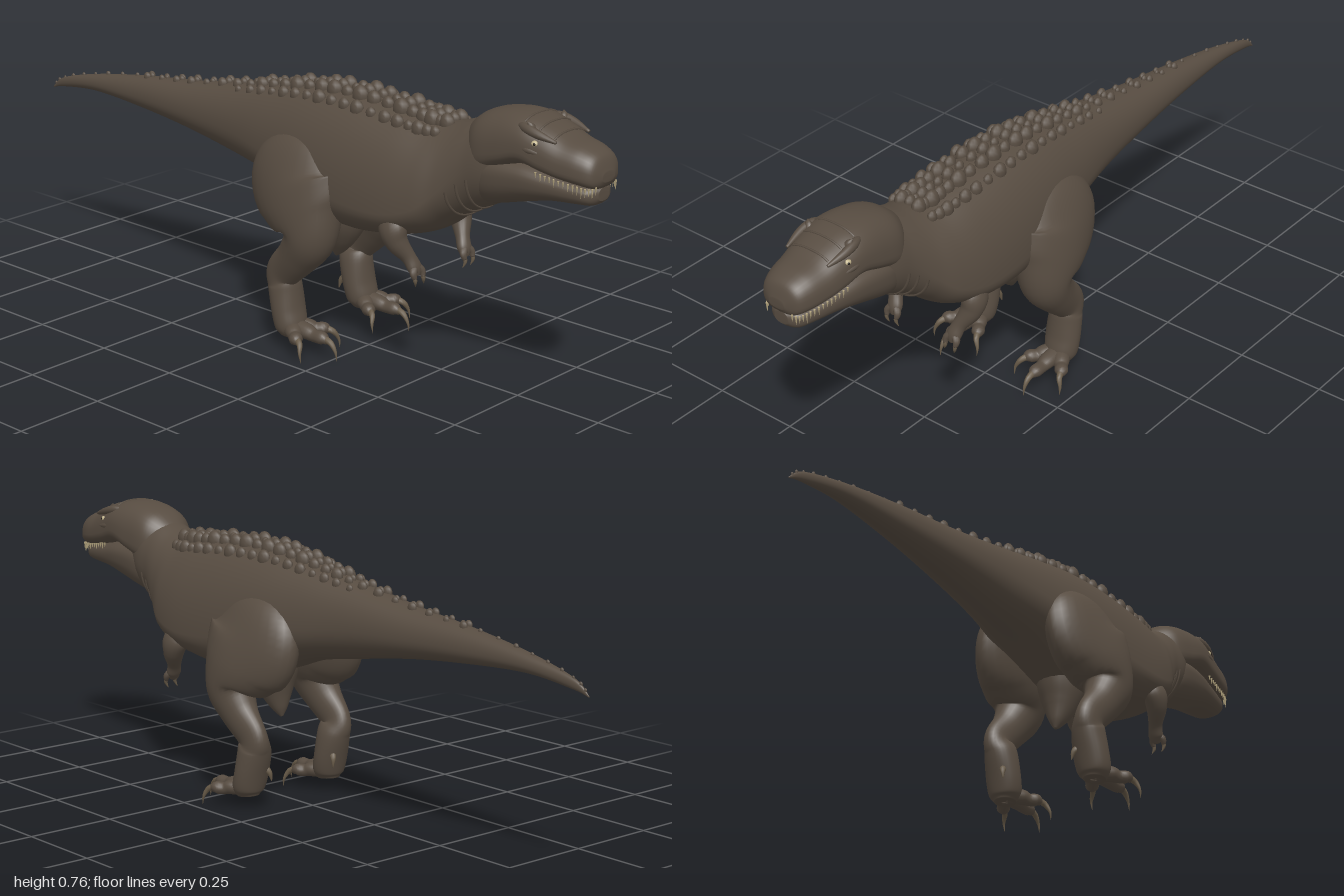
import * as THREE from 'three';
import { mergeGeometries } from 'three/addons/utils/BufferGeometryUtils.js';

const mat = (name, color) => Object.assign(new THREE.MeshStandardMaterial({ color }), { name });

// Smooth Catmull-Rom sample through rows of numbers, t in 0..1
function sample(rows, t) {
  const f = t * (rows.length - 1), i = Math.min(Math.floor(f), rows.length - 2), u = f - i;
  const at = k => rows[Math.max(0, Math.min(rows.length - 1, k))];
  const [a, b, c, d] = [at(i - 1), at(i), at(i + 1), at(i + 2)];
  return b.map((_, k) => b[k] + 0.5 * u * (c[k] - a[k] + u * (2 * a[k] - 5 * b[k] + 4 * c[k] - d[k]
    + u * (3 * (b[k] - c[k]) + d[k] - a[k]))));
}

// Skin a list of rings (each an array of points, counter-clockwise about the path)
function skin(rings) {
  const n = rings[0].length, m = rings.length, pos = rings.flat(2), index = [];
  for (let i = 0; i < m - 1; i++) for (let j = 0; j < n; j++) {
    const a = i * n + j, b = i * n + (j + 1) % n;
    index.push(a, b, b + n, a, b + n, a + n);
  }
  for (let j = 1; j < n - 1; j++) {
    index.push(0, j + 1, j, (m - 1) * n, (m - 1) * n + j, (m - 1) * n + j + 1);
  }
  const g = new THREE.BufferGeometry();
  g.setAttribute('position', new THREE.Float32BufferAttribute(pos, 3));
  g.setIndex(index);
  g.computeVertexNormals();
  return g;
}

// Point on a cross-section row [z, top, bottom, widest height, half width]
function onSection([z, top, bottom, mid, w], a, p) {
  const pw = v => Math.sign(v) * Math.abs(v) ** p;
  const s = pw(Math.sin(a));
  return [pw(Math.cos(a)) * Math.max(w, 0.0005), mid + s * (s > 0 ? top - mid : mid - bottom), z];
}

function loft(rows, p = 1, steps = 60, n = 36) {
  return skin(Array.from({ length: steps + 1 }, (_, i) => {
    const row = sample(rows, i / steps);
    return Array.from({ length: n }, (_, j) => onSection(row, j / n * Math.PI * 2, p));
  }));
}

// Limb along rows [x, y, z, side radius, depth radius]; side mirrors x
function limb(rows, side = 1, steps = 24, n = 18) {
  const path = rows.map(([x, y, z, r, d = r]) => [x * side, y, z, r, d]);
  const point = t => new THREE.Vector3(...sample(path, Math.max(0, Math.min(1, t))).slice(0, 3));
  return skin(Array.from({ length: steps + 1 }, (_, i) => {
    const t = i / steps, [x, y, z, r, d] = sample(path, t);
    const dir = point(t + 0.02).sub(point(t - 0.02)).normalize();
    const s = new THREE.Vector3(1, 0, 0).addScaledVector(dir, -dir.x).normalize();
    const u = dir.clone().cross(s);
    return Array.from({ length: n }, (_, j) => {
      const a = j / n * Math.PI * 2, c = Math.cos(a) * Math.max(r, 0.0004), e = Math.sin(a) * Math.max(d, 0.0004);
      return [x + s.x * c + u.x * e, y + s.y * c + u.y * e, z + s.z * c + u.z * e];
    });
  }));
}

// Raised skin fold following a cross-section between two angles
function fold(row, from, to, p, r) {
  const arc = Array.from({ length: 11 }, (_, i) => new THREE.Vector3(...onSection(row, Math.PI * (from + (to - from) * i / 10), p)));
  return new THREE.TubeGeometry(new THREE.CatmullRomCurve3(arc), 28, r, 6);
}

const blob = (x, y, z, a, b, c, n = 10) =>
  new THREE.SphereGeometry(1, n, Math.ceil(n * 0.7)).scale(a, b, c).translate(x, y, z);

const BODY = [
  [-1, 0.482, 0.478, 0.48, 0.001], [-0.95, 0.518, 0.49, 0.504, 0.009], [-0.8, 0.555, 0.505, 0.528, 0.025],
  [-0.6, 0.587, 0.495, 0.535, 0.044], [-0.4, 0.61, 0.475, 0.535, 0.066], [-0.2, 0.642, 0.443, 0.53, 0.089],
  [-0.05, 0.67, 0.415, 0.51, 0.115], [0.1, 0.694, 0.365, 0.48, 0.142], [0.25, 0.7, 0.343, 0.45, 0.16],
  [0.4, 0.69, 0.362, 0.445, 0.163], [0.5, 0.68, 0.39, 0.47, 0.148], [0.56, 0.69, 0.433, 0.52, 0.122],
  [0.62, 0.712, 0.47, 0.58, 0.1], [0.69, 0.735, 0.505, 0.61, 0.087], [0.78, 0.7, 0.56, 0.63, 0.04],
];
const SKULL = [
  [0.6, 0.7, 0.58, 0.64, 0.05], [0.65, 0.738, 0.58, 0.64, 0.088], [0.72, 0.757, 0.61, 0.655, 0.096],
  [0.79, 0.757, 0.633, 0.675, 0.096], [0.85, 0.739, 0.624, 0.66, 0.091], [0.9, 0.718, 0.616, 0.648, 0.084],
  [0.95, 0.706, 0.61, 0.642, 0.074], [0.985, 0.687, 0.607, 0.638, 0.057], [1, 0.65, 0.625, 0.636, 0.024],
];
const JAW = [
  [0.62, 0.62, 0.5, 0.57, 0.06], [0.68, 0.645, 0.503, 0.59, 0.088], [0.78, 0.645, 0.53, 0.6, 0.085],
  [0.86, 0.632, 0.55, 0.595, 0.073], [0.93, 0.619, 0.557, 0.59, 0.06], [0.97, 0.614, 0.561, 0.588, 0.048],
  [0.988, 0.608, 0.575, 0.588, 0.022],
];
const LEG = [
  [0.06, 0.6, 0.1, 0.01, 0.02], [0.088, 0.545, 0.1, 0.056, 0.12], [0.116, 0.46, 0.105, 0.072, 0.165],
  [0.133, 0.39, 0.14, 0.077, 0.135], [0.146, 0.325, 0.165, 0.066, 0.08], [0.15, 0.265, 0.13, 0.048, 0.058],
  [0.15, 0.205, 0.075, 0.032, 0.05], [0.142, 0.168, 0.076, 0.044, 0.048], [0.142, 0.105, 0.088, 0.05, 0.042],
  [0.144, 0.058, 0.1, 0.046, 0.04], [0.144, 0.036, 0.1, 0.03, 0.03],
];
const ARM = [
  [0.1, 0.46, 0.41, 0.01, 0.02], [0.128, 0.415, 0.435, 0.03, 0.04], [0.128, 0.375, 0.45, 0.029, 0.031],
  [0.109, 0.335, 0.473, 0.02, 0.019], [0.1, 0.305, 0.488, 0.021, 0.016], [0.1, 0.286, 0.495, 0.008, 0.008],
];

// Bumpy armour in rows along the back and tail, shrinking outwards and backwards
function scutes() {
  const parts = [];
  for (const [angle, from, to, size] of [[0, 0.03, 0.74, 0.9], [0.2, 0.22, 0.74, 1.15], [0.46, 0.36, 0.73, 0.95]]) {
    const count = Math.round((to - from) * 46);
    for (let i = 0; i <= count; i++) {
      const row = sample(BODY, from + (to - from) * i / count);
      const k = size * Math.min(1.1, 0.25 + row[4] * 5.8) * (0.92 + 0.16 * Math.sin(i * 2.3 + angle * 9));
      for (const s of angle ? [-1, 1] : [1]) {
        const [x, y, z] = onSection(row, Math.PI / 2 - s * angle, 1);
        parts.push(blob(x, y, z, 0.014 * k, 0.023 * k, 0.019 * k, 10));
      }
    }
  }
  return mergeGeometries(parts);
}

// Small pointed teeth along the upper lip
function teeth() {
  const parts = [];
  for (let i = 0; i < 15; i++) {
    const [z, , bottom, , w] = sample(SKULL, 0.48 + i * 0.031);
    const h = 0.016 + 0.006 * (i % 3 === 1) + 0.006 * (i > 7);
    for (const s of [-1, 1]) {
      parts.push(new THREE.ConeGeometry(0.003, h, 6).rotateX(Math.PI).translate(s * w * 0.86, bottom + 0.006 - h / 2, z));
    }
  }
  return mergeGeometries(parts);
}

export function createModel() {
  const model = new THREE.Group();
  const hide = mat('brown hide', 0x574c41), horn = mat('claw horn', 0x665947), ivory = mat('tooth ivory', 0xb5a680);
  const eyeMat = mat('pale eye', 0xc2b48c), dark = mat('dark pupil', 0x201a16);
  const add = (name, geometry, material = hide, parent = model) => {
    const mesh = new THREE.Mesh(geometry, material);
    mesh.name = name;
    parent.add(mesh);
  };

  add('body', loft(BODY, 0.96, 110, 44));
  add('pelvicBulge', limb([[0, 0.42, 0.16, 0.075], [0, 0.345, 0.16, 0.064], [0, 0.295, 0.152, 0.046],
    [0, 0.25, 0.138, 0.022], [0, 0.227, 0.13, 0.004]]));
  add('backScutes', scutes());
  add('skull', loft(SKULL, 0.8));
  add('lowerJaw', loft(JAW, 0.85));
  add('teeth', teeth(), ivory);

  // Low skin folds across the snout, skull and throat
  for (const t of [0.38, 0.47, 0.57]) add('skullFold', fold(sample(SKULL, t), 0.3, 0.7, 0.8, 0.003));
  for (const t of [0.82, 0.85, 0.88]) add('throatFold', fold(sample(BODY, t), 1.05, 1.95, 0.96, 0.004));

  for (const side of [1, -1]) {
    const label = side > 0 ? 'left' : 'right';
    const face = new THREE.Group();
    face.name = label + 'FaceDetails';
    model.add(face);
    add('eye', blob(side * 0.08, 0.703, 0.838, 0.009, 0.008, 0.01, 14), eyeMat, face);
    add('pupil', blob(side * 0.0865, 0.703, 0.841, 0.003, 0.004, 0.0035), dark, face);
    add('browRidge', limb([[0.06, 0.735, 0.77, 0.004], [0.07, 0.733, 0.8, 0.012], [0.073, 0.724, 0.84, 0.011],
      [0.066, 0.712, 0.89, 0.004]], side, 14, 12), hide, face);
    add('browHorn', limb([[0.06, 0.725, 0.815, 0.014], [0.067, 0.74, 0.813, 0.009], [0.072, 0.749, 0.808, 0.001]], side, 8, 10), hide, face);
    add('cheekRidge', limb([[0.08, 0.688, 0.77, 0.004], [0.086, 0.685, 0.82, 0.009], [0.08, 0.678, 0.87, 0.004]], side, 12, 10), hide, face);
    add('nostrilRim', blob(side * 0.05, 0.667, 0.974, 0.007, 0.006, 0.009), hide, face);

    const leg = new THREE.Group();
    leg.name = label + 'Leg';
    model.add(leg);
    add('legAndFoot', limb(LEG, side, 70, 28), hide, leg);
    // Three forward toes: knuckle path, then curved claw
    for (const [x, z, cx, cz] of [[0.09, 0.17, 0.067, 0.205], [0.146, 0.215, 0.146, 0.265], [0.2, 0.17, 0.22, 0.205]]) {
      const mx = (0.143 + x) / 2, mz = (0.1 + z) / 2;
      add('toe', limb([[0.143, 0.058, 0.1, 0.025], [mx, 0.056, mz, 0.024, 0.021], [(mx + x) / 2, 0.051, (mz + z) / 2, 0.018, 0.017],
        [x, 0.052, z, 0.018, 0.017], [(x * 2 + cx) / 3, 0.046, (z * 2 + cz) / 3, 0.008]], side, 20, 14), hide, leg);
      add('toeClaw', limb([[x, 0.054, z, 0.01], [(x + cx) / 2, 0.046, (z + cz) / 2 + 0.004, 0.008],
        [cx, 0.024, cz - 0.004, 0.004], [cx, 0.001, cz, 0.0005]], side, 12, 10), horn, leg);
    }
    add('rearClaw', limb([[0.125, 0.12, 0.065, 0.012], [0.115, 0.105, 0.047, 0.008], [0.11, 0.08, 0.042, 0.001]], side, 10, 10), horn, leg);

    const arm = new THREE.Group();
    arm.name = label + 'Arm';
    model.add(arm);
    add('armAndHand', limb(ARM, side, 36, 18), hide, arm);
    for (const x of [0.084, 0.116]) {
      add('finger', limb([[0.1, 0.312, 0.487, 0.012], [x, 0.298, 0.497, 0.01], [x, 0.282, 0.503, 0.006]], side, 10, 10), hide, arm);
      add('fingerClaw', limb([[x, 0.29, 0.501, 0.006], [x, 0.276, 0.504, 0.005], [x - 0.006, 0.26, 0.5, 0.0005]], side, 8, 8), horn, arm);
    }
  }
  return model;
}
